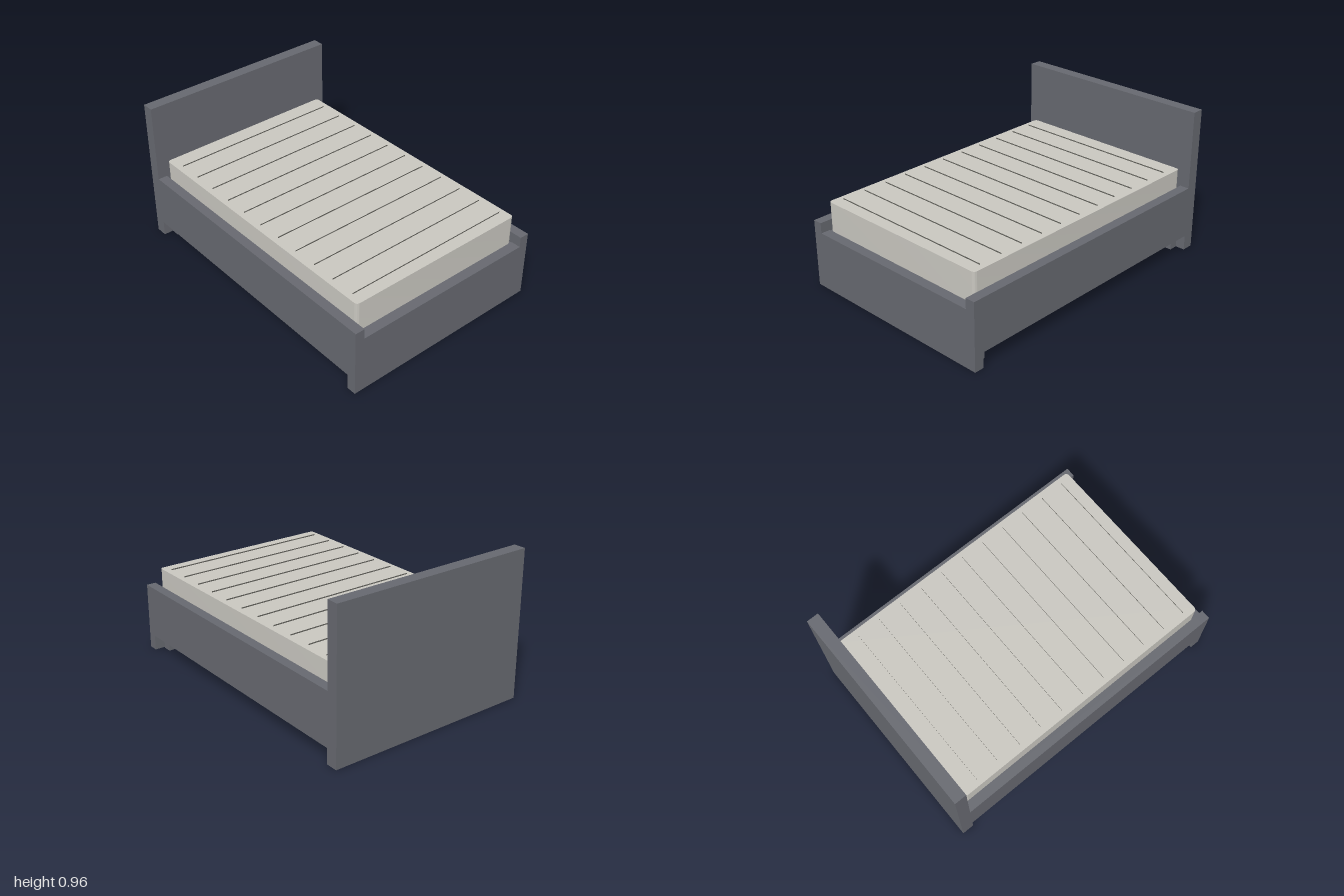
import * as THREE from 'three';
import { toCreasedNormals } from 'three/addons/utils/BufferGeometryUtils.js';

export function createModel() {
  const bed = new THREE.Group();
  bed.name = 'bed';

  const frameMat = new THREE.MeshStandardMaterial({ color: 0x66686f });
  frameMat.name = 'frame grey';
  const mattressMat = new THREE.MeshStandardMaterial({ color: 0xc8c6bf });
  mattressMat.name = 'mattress cream';
  const seamMat = new THREE.MeshStandardMaterial({ color: 0x66655f, side: THREE.DoubleSide });
  seamMat.name = 'seam grey';

  const add = (name, geometry, material) => {
    const mesh = new THREE.Mesh(geometry, material);
    mesh.name = name;
    bed.add(mesh);
    return mesh;
  };
  // Box given by its extents along each axis
  const box = (name, [x0, x1], [y0, y1], [z0, z1], material = frameMat) =>
    add(name, new THREE.BoxGeometry(x1 - x0, y1 - y0, z1 - z0), material)
      .position.set((x0 + x1) / 2, (y0 + y1) / 2, (z0 + z1) / 2);

  const W = 0.685, INNER = 0.622, HEAD_Z = -0.922, FOOT_Z = 0.937;
  const RAIL_TOP = 0.443, NOTCH = 0.375, UNDER = 0.1;

  box('headboard', [-W, W], [0, 0.96], [-1, HEAD_Z]);

  // Footboard: one panel with a shallow notch between the rail ends
  const foot = new THREE.Shape([
    [-W, 0], [W, 0], [W, RAIL_TOP], [INNER, RAIL_TOP],
    [INNER, NOTCH], [-INNER, NOTCH], [-INNER, RAIL_TOP], [-W, RAIL_TOP],
  ].map(([x, y]) => new THREE.Vector2(x, y)));
  add('footboard', new THREE.ExtrudeGeometry(foot, { depth: 1 - FOOT_Z, bevelEnabled: false }), frameMat)
    .position.z = FOOT_Z;

  // Platform under the mattress
  box('platform', [-INNER, INNER], [UNDER, 0.37], [HEAD_Z, FOOT_Z]);

  // Side rails and inset legs, mirrored
  for (const [s, side] of [[1, 'left'], [-1, 'right']]) {
    const span = (a, b) => (s > 0 ? [a, b] : [-b, -a]);
    box(side + 'Rail', span(INNER, W), [UNDER, RAIL_TOP], [HEAD_Z, FOOT_Z]);
    box(side + 'FrontLeg', span(0.562, INNER), [0, UNDER], [0.865, 0.925]);
    box(side + 'BackLeg', span(0.562, INNER), [0, UNDER], [HEAD_Z, -0.862]);
  }

  // Mattress: slab with small rounded vertical corners
  const mx = 0.618, z0 = -0.9, z1 = 0.93, r = 0.022, top = 0.565;
  const outline = new THREE.Shape();
  outline.absarc(mx - r, -z0 - r, r, 0, Math.PI / 2);
  outline.absarc(-mx + r, -z0 - r, r, Math.PI / 2, Math.PI);
  outline.absarc(-mx + r, -z1 + r, r, Math.PI, Math.PI * 1.5);
  outline.absarc(mx - r, -z1 + r, r, Math.PI * 1.5, Math.PI * 2);
  const slab = new THREE.ExtrudeGeometry(outline, { depth: top - 0.37, bevelEnabled: false, curveSegments: 6 });
  slab.rotateX(-Math.PI / 2);
  add('mattress', toCreasedNormals(slab, 0.6), mattressMat).position.y = 0.37;

  // Fine raised seams across the mattress
  const seam = new THREE.PlaneGeometry(1.16, 0.008);
  for (let i = 0; i < 11; i++) {
    add('seam' + (i + 1), seam, seamMat).position.set(0, top + 0.004, 0.85 - i * 0.1632);
  }

  return bed;
}
